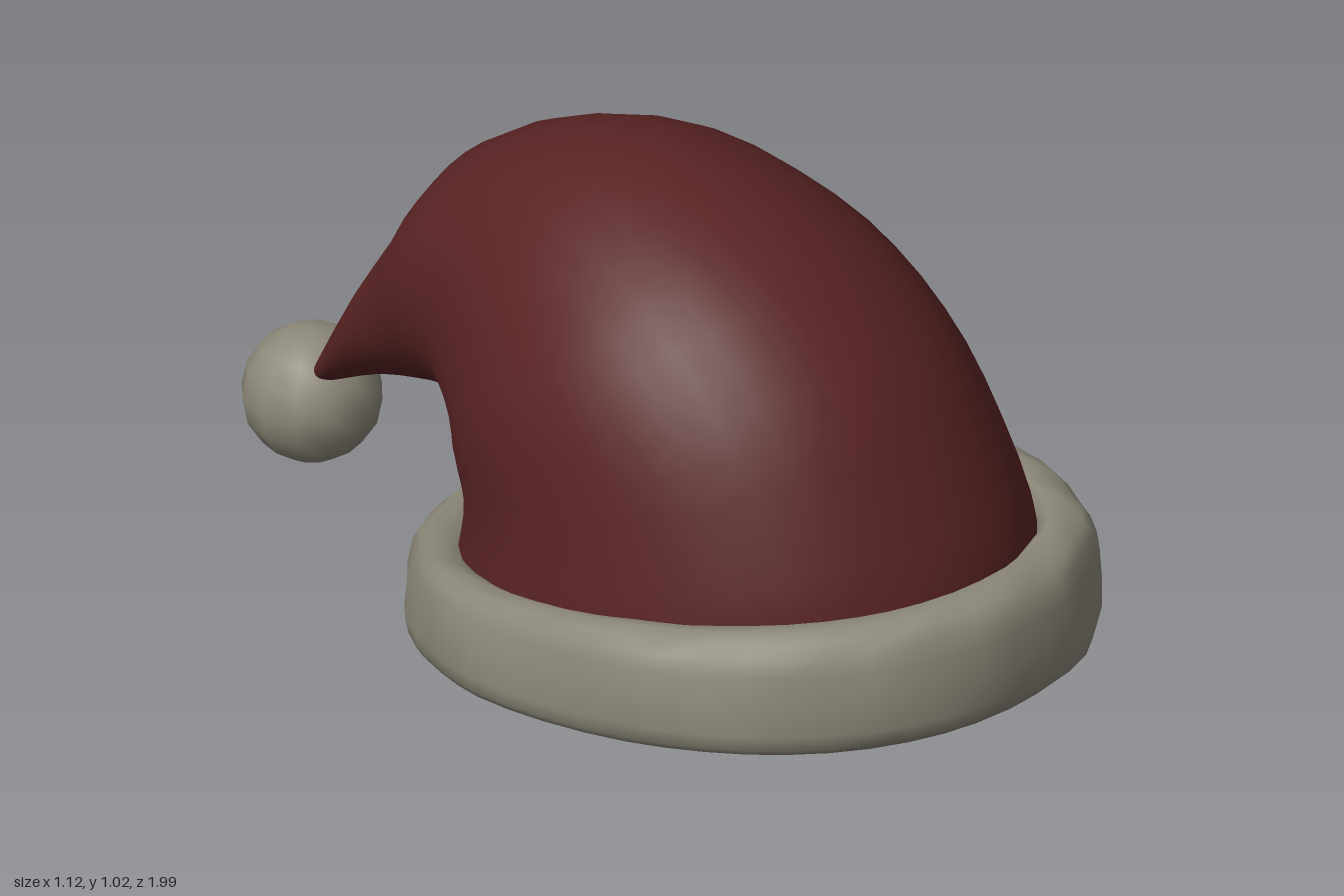
import * as THREE from 'three';

// Closed-loop loft: point(i, j) gives the vertex for ring i and side j
function loft(rings, sides, closed, point) {
  const pos = [], index = [];
  for (let i = 0; i < rings; i++)
    for (let j = 0; j < sides; j++) pos.push(...point(i, j));
  const last = closed ? rings : rings - 1;
  for (let i = 0; i < last; i++)
    for (let j = 0; j < sides; j++) {
      const a = i * sides + j, b = i * sides + (j + 1) % sides;
      const k = ((i + 1) % rings) * sides;
      const c = k + j, d = k + (j + 1) % sides;
      index.push(a, b, d, a, d, c);
    }
  const g = new THREE.BufferGeometry();
  g.setAttribute('position', new THREE.Float32BufferAttribute(pos, 3));
  g.setIndex(index);
  g.computeVertexNormals();
  return g;
}

// Cross-sections: outer z, outer y, inner z, inner y, centre x, half width
const SECTIONS = [
  [0.875, 0.32, -0.25, 0.14, 0.005, 0.488],
  [0.865, 0.42, -0.25, 0.22, 0.005, 0.484],
  [0.79, 0.58, -0.245, 0.26, 0.008, 0.472],
  [0.70, 0.73, -0.25, 0.29, 0.008, 0.46],
  [0.58, 0.85, -0.257, 0.31, 0.008, 0.448],
  [0.44, 0.94, -0.265, 0.325, 0.01, 0.428],
  [0.26, 1.00, -0.28, 0.335, 0.02, 0.39],
  [0.06, 1.02, -0.30, 0.342, 0.03, 0.347],
  [-0.17, 0.96, -0.34, 0.345, 0.05, 0.297],
  [-0.38, 0.84, -0.41, 0.335, 0.062, 0.257],
  [-0.50, 0.68, -0.49, 0.315, 0.072, 0.21],
  [-0.64, 0.49, -0.62, 0.275, 0.08, 0.15],
  [-0.82, 0.23, -0.79, 0.19, 0.095, 0.055],
];

function hatBody() {
  const curve = (a, b) => new THREE.CatmullRomCurve3(
    SECTIONS.map((s) => new THREE.Vector3(s[a], s[b], 0)));
  const outer = curve(0, 1), inner = curve(2, 3), width = curve(4, 5);
  const rings = 25, sides = 36;
  return loft(rings, sides, false, (i, j) => {
    const t = i / (rings - 1), a = (j / sides) * Math.PI * 2;
    const o = outer.getPoint(t), n = inner.getPoint(t), w = width.getPoint(t);
    const k = (1 + Math.cos(a)) / 2;
    // The crown leans slightly to one side
    const lean = 0.04 * Math.cos(a) * Math.sin(Math.PI * t);
    return [w.x - lean + w.y * Math.sin(a), n.y + (o.y - n.y) * k, n.x + (o.x - n.x) * k];
  });
}

// Fluffy band: rounded section swept round a tilted oval, slightly uneven
function furBand() {
  const rings = 48, sides = 16;
  const soft = (v, p) => Math.sign(v) * Math.pow(Math.abs(v), p);
  return loft(rings, sides, true, (i, j) => {
    const a = (i / rings) * Math.PI * 2, b = (j / sides) * Math.PI * 2;
    const s = soft(Math.sin(a), 0.94), c = soft(Math.cos(a), 0.94);
    const u = soft(Math.cos(b), 0.7), v = soft(Math.sin(b), 0.7);
    const lump = 0.004 * Math.sin(9 * a + 2 * v) + 0.003 * Math.sin(17 * a + 3 * u);
    const r = 0.057 * u - 0.01 * v + lump;
    const y = 0.24 + 0.092 * c - 0.02 * c * c + (0.106 + 0.008 * c) * v + lump * 0.6 - 0.015 * u * c;
    return [(0.5 + r) * s, y, 0.33 + (0.602 + r) * c];
  });
}

export function createModel() {
  const red = new THREE.MeshStandardMaterial({ color: 0x592323, side: THREE.DoubleSide });
  red.name = 'deep red felt';
  const cream = new THREE.MeshStandardMaterial({ color: 0x8c8879, side: THREE.DoubleSide });
  cream.name = 'cream fur';

  const group = new THREE.Group();
  const add = (name, geometry, material) => {
    const mesh = new THREE.Mesh(geometry, material);
    mesh.name = name;
    group.add(mesh);
    return mesh;
  };
  add('hatBody', hatBody(), red);
  add('furBand', furBand(), cream);
  // Ball hanging from the tip
  add('pompom', new THREE.SphereGeometry(0.13, 12, 8), cream).position.set(0.102, 0.13, -0.87);
  return group;
}
